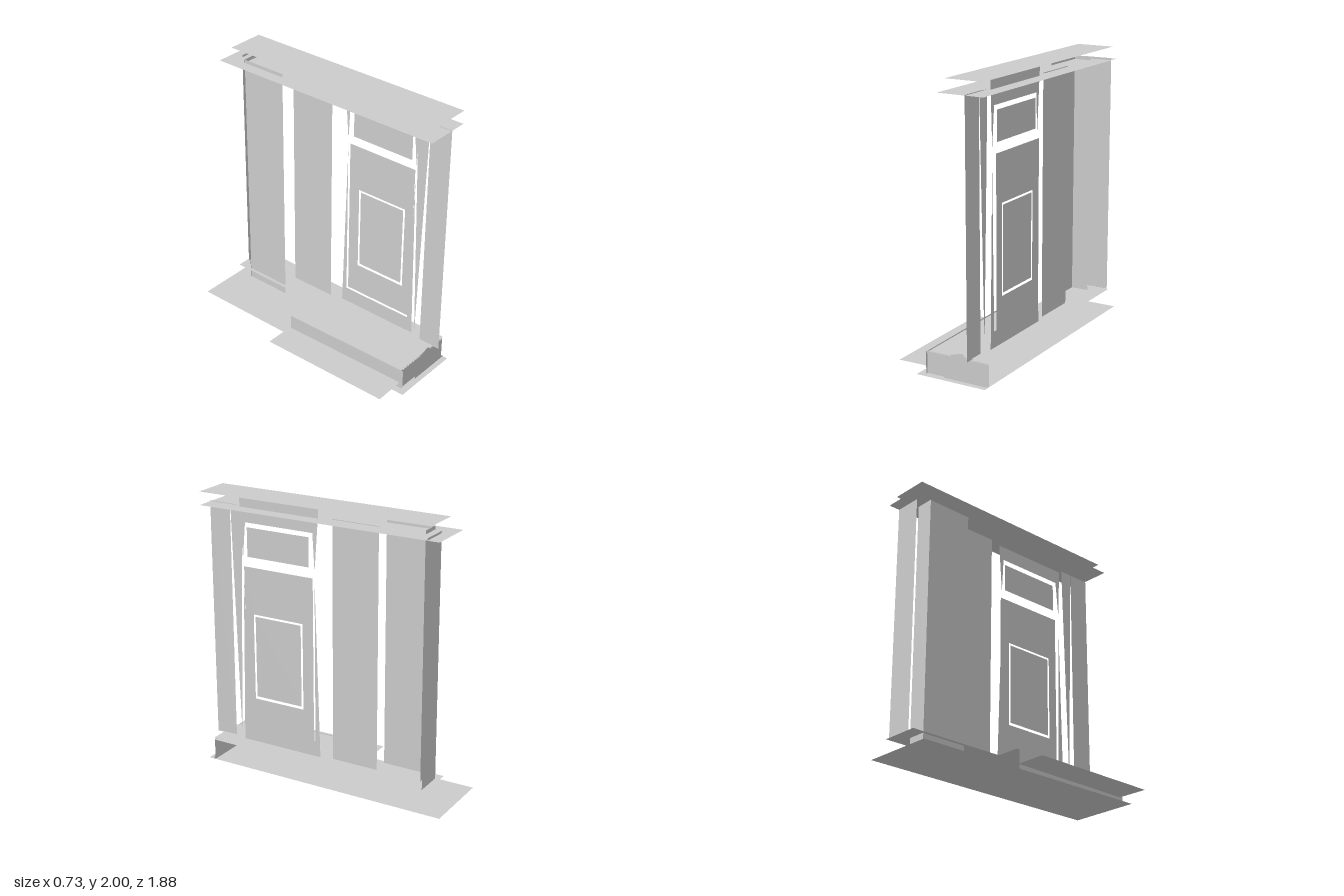
import * as THREE from 'three';

export function createModel() {
  const model = new THREE.Group();
  model.name = 'doorway';
  const material = new THREE.MeshStandardMaterial({ color: 0xcccccc, side: THREE.DoubleSide, flatShading: true });

  const path = (pts, Type = THREE.Shape) => new Type(pts.map(([a, b]) => new THREE.Vector2(a, b)));
  const rect = (a0, a1, b0, b1) => [[a0, b0], [a1, b0], [a1, b1], [a0, b1]];

  // Sheet facing the front, outline in (x, y)
  function sheet(name, z, pts, hole) {
    const shape = path(pts);
    if (hole) shape.holes.push(path(hole, THREE.Path));
    const mesh = new THREE.Mesh(new THREE.ShapeGeometry(shape), material);
    mesh.name = name;
    mesh.position.z = z;
    model.add(mesh);
    return mesh;
  }
  // Sheet facing sideways, outline in (z, y)
  function wall(name, x, pts, hole) {
    const m = sheet(name, 0, pts, hole);
    m.rotation.y = -Math.PI / 2;
    m.position.x = x;
  }
  // Level sheet, outline in (x, z)
  function slab(name, y, pts) {
    const m = sheet(name, 0, pts);
    m.rotation.x = Math.PI / 2;
    m.position.y = y;
  }

  // Ground, step and platform
  slab('groundPlate', 0, rect(-0.17, 0.36, -0.94, 0.94));
  slab('frontPavement', 0.045, [[-0.365, -0.12], [-0.13, -0.12], [-0.11, 0.875], [-0.35, 0.88]]);
  slab('stepTread', 0.155, [[-0.125, -0.12], [0.36, -0.12], [0.36, 0.89], [-0.11, 0.89]]);
  slab('platform', 0.17, rect(0.08, 0.36, -0.83, 0.89));
  const riser = sheet('stepRiser', -0.11, rect(0, 1.01, 0, 0.155));
  riser.position.x = -0.14;
  riser.rotation.y = -Math.PI / 2 + 0.02;
  sheet('stepEnd', 0.885, rect(-0.12, 0.36, 0, 0.158));
  sheet('slopedEndCap', 0.9, [[0.02, 0], [0.08, 0.175], [0.165, 0.195], [0.2, 0.165], [0.36, 0]]);

  // Roof plates
  slab('lowerCornice', 1.905, rect(0.02, 0.36, -0.89, 0.94));
  slab('upperCornice', 2, rect(0.08, 0.36, -0.83, 0.94));

  // Facade walls
  wall('sidePilaster', 0.23, rect(0.78, 0.945, 0.165, 1.91));
  wall('taperedFiller', 0.23, [[0.73, 0.2], [0.776, 1.91], [0.68, 1.905]]);
  wall('facadePanel', 0.23, rect(-0.39, -0.04, 0.165, 1.91));

  // Projecting pier with its two returns
  wall('pierFace', 0.105, rect(-0.73, -0.38, 0.095, 1.93));
  sheet('pierReturn', -0.73, rect(0.1, 0.235, 0.095, 1.93));
  sheet('rearReturn', -0.805, rect(0.16, 0.36, 0.18, 1.92));

  // Door surround: lintel and sill, each with legs tapering to a point
  wall('doorLintel', 0.255, [
    [0.685, 1.996], [0.665, 1.53], [0.64, 1.8], [0.1, 1.8], [0.085, 1.53], [0.05, 1.996],
  ]);
  wall('doorSill', 0.253, [
    [0.69, 0.165], [0.663, 1.42], [0.645, 0.285], [0.09, 0.285], [0.087, 1.45], [0.05, 0.165],
  ]);

  // Door leaf with inset panel, and transom above
  wall('doorLeaf', 0.272, rect(0.09, 0.645, 0.285, 1.49), rect(0.175, 0.575, 0.515, 1.15));
  wall('doorInset', 0.272, rect(0.19, 0.56, 0.535, 1.135));
  wall('transom', 0.265, rect(0.125, 0.62, 1.56, 1.77));

  return model;
}
